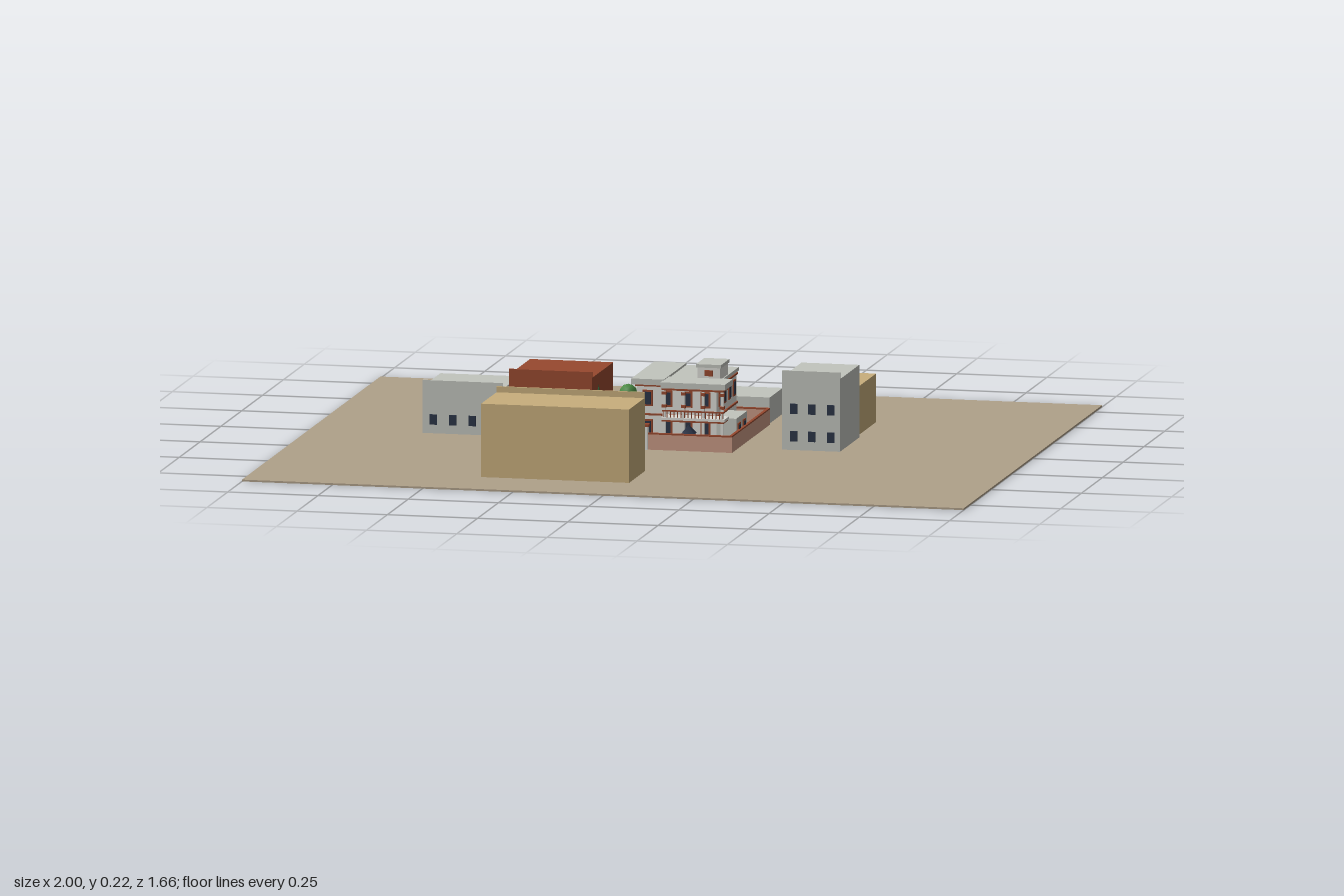
import * as THREE from 'three';
import { mergeGeometries } from 'three/addons/utils/BufferGeometryUtils.js';

const mat = (name, color) => Object.assign(new THREE.MeshStandardMaterial({ color }), { name });
const M = {
  ground: mat('ground tan', 0xb0a18a), sand: mat('sandstone', 0xc8af7d), grey: mat('pale grey', 0xc2c5be),
  brick: mat('brick red', 0x98492f), white: mat('off white', 0xdcdcd6), navy: mat('navy glass', 0x2b3447),
  leaf: mat('leaf green', 0x4a8a44), pine: mat('pine green', 0x2f6b3a), pink: mat('pink plaster', 0xc99a85),
  bark: mat('bark brown', 0x5e4230),
};

// Box given by its extents
function boxGeo(x0, x1, y0, y1, z0, z1) {
  return new THREE.BoxGeometry(x1 - x0, y1 - y0, z1 - z0)
    .translate((x0 + x1) / 2, (y0 + y1) / 2, (z0 + z1) / 2);
}
function add(parent, name, geos, material) {
  const mesh = new THREE.Mesh(Array.isArray(geos) ? mergeGeometries(geos) : geos, material);
  mesh.name = name;
  parent.add(mesh);
  return mesh;
}
const box = (parent, name, material, ...e) => add(parent, name, boxGeo(...e), material);
// Thin plate on a wall: axis 'z' lies on plane z = p, axis 'x' on plane x = p
function plate(axis, p, u, y, w, h, t = 0.003) {
  return axis === 'z' ? boxGeo(u - w / 2, u + w / 2, y - h / 2, y + h / 2, p - t, p + t)
    : boxGeo(p - t, p + t, y - h / 2, y + h / 2, u - w / 2, u + w / 2);
}
function windows(parent, axis, p, us, ys, w, h, material, t) {
  add(parent, 'windows', ys.flatMap(y => us.map(u => plate(axis, p, u, y, w, h, t))), material);
}
function group(parent, name) {
  const g = new THREE.Group();
  g.name = name;
  parent.add(g);
  return g;
}

const G = 0.005; // ground level

// Plain neighbouring block, with an optional raised facade
function block(parent, name, material, x0, x1, z0, z1, h, facadeZ, facadeH) {
  const g = group(parent, name);
  box(g, 'walls', material, x0, x1, G, h, z0, z1);
  if (facadeH) box(g, 'parapet', material, x0, x1, h, facadeH, facadeZ - 0.003, facadeZ + 0.003);
  return g;
}

function neighbours(root) {
  const a = block(root, 'westGreyBuilding', M.grey, -0.69, -0.47, -0.21, 0.005, 0.132, 0.002, 0.15);
  windows(a, 'z', 0.005, [-0.66, -0.606, -0.552, -0.5], [0.043], 0.02, 0.028, M.navy);
  const b = block(root, 'brickBuilding', M.brick, -0.445, -0.215, -0.225, 0.03, 0.178, 0.027, 0.194);
  windows(b, 'z', 0.03, [-0.415, -0.358, -0.302, -0.245], [0.043, 0.118], 0.02, 0.028, M.navy);
  const c = block(root, 'eastGreyBuilding', M.grey, 0.315, 0.475, -0.19, 0.042, 0.204, 0.039, 0.222);
  windows(c, 'z', 0.042, [0.347, 0.397, 0.45], [0.043, 0.118], 0.02, 0.028, M.navy);
  block(root, 'smallSandstoneBuilding', M.sand, 0.315, 0.465, -0.435, -0.225, 0.138);
  block(root, 'lowGreyBuilding', M.grey, -0.2, 0.19, -0.505, -0.35, 0.076);
  // Large block across the street, facing the house
  const d = block(root, 'largeSandstoneBuilding', M.sand, -0.38, 0.03, 0.455, 0.645, 0.206, 0.458, 0.222);
  const us = [...Array(7)].map((_, i) => -0.345 + i * 0.057);
  windows(d, 'z', 0.455, us, [0.05, 0.14], 0.02, 0.036, M.brick);
  box(d, 'balcony', M.navy, -0.3, -0.08, 0.08, 0.098, 0.447, 0.456);
  box(d, 'balconyFloor', M.white, -0.3, -0.08, 0.074, 0.08, 0.447, 0.456);
}

function courtyard(root) {
  const g = group(root, 'courtyard');
  box(g, 'paving', M.white, -0.205, 0.19, G, 0.009, -0.328, 0.122);
  // Checked tiles behind the house
  const tiles = [], s = 0.0128;
  for (let i = 0; i < 30; i++) for (let j = 0; j < 23; j++) {
    if ((i + j) % 2) continue;
    const x = -0.2 + i * s, z = -0.324 + j * s;
    tiles.push(boxGeo(x, x + s, 0.009, 0.0105, z, z + s));
  }
  add(g, 'checkedTiles', tiles, M.brick);
  // Dark chips in the front terrace
  let seed = 7;
  const rnd = () => (seed = (seed * 16807) % 2147483647) / 2147483647;
  const chips = [...Array(130)].map(() => {
    const x = -0.195 + rnd() * 0.375, z = -0.02 + rnd() * 0.135;
    return boxGeo(x, x + 0.004, 0.009, 0.0103, z, z + 0.004);
  });
  add(g, 'terraceChips', chips, M.navy);
  // Boundary wall with a gate gap at the front
  const runs = [[-0.21, -0.115, 0.117, 0.125], [-0.045, 0.195, 0.117, 0.125], [0.187, 0.195, -0.332, 0.117],
    [-0.21, -0.202, -0.332, 0.117], [-0.202, 0.187, -0.332, -0.324]];
  add(g, 'boundaryWall', runs.map(([a, b, c, d]) => boxGeo(a, b, G, 0.047, c, d)), M.pink);
  add(g, 'wallCoping', runs.map(([a, b, c, d]) => boxGeo(a, b, 0.047, 0.051, c, d)), M.brick);
  add(g, 'gatePosts', [-0.115, -0.045].map(x => boxGeo(x - 0.007, x + 0.007, G, 0.068, 0.113, 0.129)), M.white);
  box(g, 'gateLintel', M.brick, -0.125, -0.035, 0.068, 0.075, 0.111, 0.131);
  add(g, 'gateBars', [...Array(7)].map((_, i) => boxGeo(-0.104 + i * 0.008, -0.102 + i * 0.008, G, 0.042, 0.12, 0.122)), M.brick);
  add(g, 'gateSteps', [0.14, 0.156, 0.172].map(z => boxGeo(-0.1, -0.06, G, 0.007, z - 0.006, z + 0.006)), M.pink);
  box(g, 'shed', M.navy, -0.165, -0.115, 0.009, 0.04, -0.318, -0.285);
}

function house(root) {
  const g = group(root, 'house');
  const xs = [-0.06, -0.005, 0.05, 0.1], levels = [0.05, 0.13];
  box(g, 'mainWalls', M.white, -0.09, 0.13, G, 0.172, -0.21, 0.03);
  box(g, 'eastWing', M.grey, 0.13, 0.185, G, 0.082, -0.1, 0.03);
  // Floor bands and roof slabs
  add(g, 'floorBands', [boxGeo(-0.094, 0.134, 0.083, 0.088, -0.214, 0.034),
    boxGeo(-0.01, 0.162, 0.076, 0.081, 0.03, 0.083), boxGeo(-0.01, 0.162, 0.162, 0.167, 0.03, 0.083),
    boxGeo(-0.094, 0.134, 0.162, 0.167, -0.214, 0.034)], M.brick);
  add(g, 'balconySlab', boxGeo(-0.01, 0.165, 0.081, 0.088, 0.03, 0.086), M.white);
  add(g, 'roofSlabs', [boxGeo(-0.1, -0.01, 0.17, 0.186, -0.218, 0.056),
    boxGeo(-0.01, 0.135, 0.17, 0.18, -0.218, 0.0), boxGeo(-0.012, 0.167, 0.168, 0.184, -0.008, 0.087)], M.grey);
  // Roof tower
  box(g, 'tower', M.white, 0.07, 0.132, 0.18, 0.213, -0.098, -0.005);
  box(g, 'towerRoof', M.grey, 0.066, 0.136, 0.213, 0.222, -0.102, -0.001);
  windows(g, 'z', -0.005, [0.101], [0.198], 0.022, 0.016, M.brick);
  // Veranda columns and railings
  const cols = [-0.003, 0.05, 0.104, 0.157];
  add(g, 'columns', cols.map(x => boxGeo(x - 0.004, x + 0.004, G, 0.168, 0.074, 0.082)), M.white);
  add(g, 'columnBands', cols.flatMap(x => [0.03, 0.115, 0.15].map(y =>
    boxGeo(x - 0.006, x + 0.006, y, y + 0.008, 0.072, 0.084))), M.brick);
  add(g, 'railing', [boxGeo(-0.008, 0.162, 0.104, 0.108, 0.08, 0.084), boxGeo(0.158, 0.162, 0.104, 0.108, 0.03, 0.08),
    ...[...Array(18)].map((_, i) => boxGeo(-0.006 + i * 0.0097, -0.004 + i * 0.0097, 0.088, 0.104, 0.081, 0.083))], M.brick);
  add(g, 'awning', new THREE.ConeGeometry(0.026, 0.025, 4).rotateY(Math.PI / 4).translate(0.065, 0.058, 0.082), M.navy);
  // Framed windows on all four walls
  const zs = [-0.175, -0.12, -0.065, -0.01];
  for (const [axis, p, us, ys] of [['z', 0.03, xs, levels], ['z', -0.21, xs, levels], ['x', -0.09, zs, levels],
    ['x', 0.13, zs, [0.13]], ['x', 0.185, [-0.06, 0], [0.045]]]) {
    windows(g, axis, p, us, ys, 0.028, 0.044, M.brick, 0.003);
    windows(g, axis, p, us, ys, 0.018, 0.034, M.navy, 0.0045);
  }
}

function plants(root) {
  const g = group(root, 'plants');
  const blob = (x, y, z, r) => new THREE.IcosahedronGeometry(r, 1).translate(x, y, z);
  const trunk = (x, z, h, r) => new THREE.CylinderGeometry(r * 0.7, r, h, 6).translate(x, G + h / 2, z);
  // Conifer by the front corner
  add(g, 'coniferLeaves', [0, 1, 2, 3].map(i =>
    new THREE.ConeGeometry(0.025 - i * 0.0045, 0.062, 9).translate(-0.18, 0.053 + i * 0.03, 0.1)), M.pine);
  // Hedge trees along the west wall
  const spots = [[-0.285, 0.025], [-0.235, 0.02], [-0.195, 0.017], [-0.155, 0.019], [-0.115, 0.016], [-0.075, 0.017]];
  add(g, 'hedgeLeaves', spots.map(([z, r], i) => blob(-0.187, i ? 0.05 : 0.085, z, r)), M.leaf);
  add(g, 'hedgeUndergrowth', spots.map(([z, r]) => blob(-0.186, 0.026, z + 0.017, r * 0.85)), M.pine);
  // Broad tree between the eastern buildings
  add(g, 'broadTreeLeaves', [blob(0.32, 0.105, -0.235, 0.024), blob(0.35, 0.118, -0.222, 0.024)], M.leaf);
  add(g, 'broadTreeShade', [blob(0.335, 0.128, -0.245, 0.02), blob(0.312, 0.088, -0.22, 0.018)], M.pine);
  add(g, 'trunks', [trunk(-0.18, 0.1, 0.04, 0.005), trunk(0.33, -0.21, 0.1, 0.006),
    ...spots.map(([z], i) => trunk(-0.187, z, i ? 0.04 : 0.07, 0.004))], M.bark);
}

export function createModel() {
  const root = new THREE.Group();
  root.name = 'streetCorner';
  box(root, 'ground', M.ground, -1, 1, 0, G, -0.83, 0.83);
  neighbours(root);
  courtyard(root);
  house(root);
  plants(root);
  return root;
}
